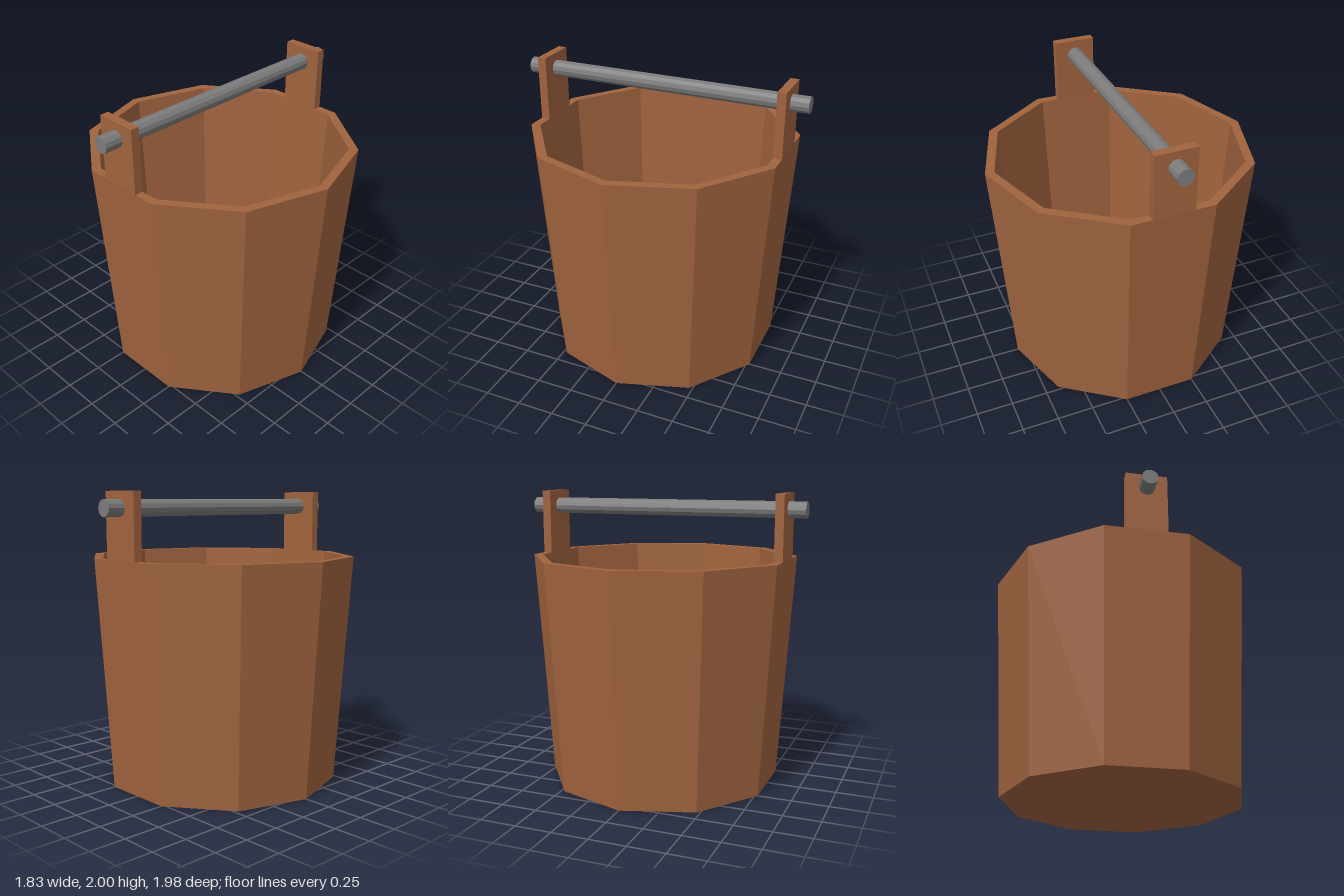
import * as THREE from 'three';

export function createModel() {
  const wood = new THREE.MeshStandardMaterial({ color: 0xa0633e, flatShading: true });
  wood.name = 'wood';
  const iron = new THREE.MeshStandardMaterial({ color: 0x7b7b7b, flatShading: true });
  iron.name = 'iron';

  const model = new THREE.Group();
  model.name = 'bucket';
  const add = (name, geometry, material, x, y, z) => {
    const mesh = new THREE.Mesh(geometry, material);
    mesh.name = name;
    mesh.position.set(x, y, z);
    model.add(mesh);
    return mesh;
  };

  // Ten-sided tapered tub: underside, outer wall, rim, inner wall, floor
  const profile = [[0, 0], [0.81, 0], [0.914, 1.565], [0.852, 1.565], [0.782, 0.06], [0, 0.06]]
    .map(([r, y]) => new THREE.Vector2(r, y));
  add('tub', new THREE.LatheGeometry(profile, 10, Math.PI / 2), wood, 0, 0, 0);

  // Upright lugs standing on the front and back rim
  for (const [name, side] of [['frontLug', 1], ['backLug', -1]]) {
    add(name, new THREE.BoxGeometry(0.282, 0.435, 0.059), wood, 0, 1.7825, side * 0.84);
  }

  // Carrying rod through both lugs
  const rod = add('handleRod', new THREE.CylinderGeometry(0.055, 0.055, 1.98, 12), iron, 0, 1.894, 0);
  rod.rotation.x = Math.PI / 2;

  return model;
}
